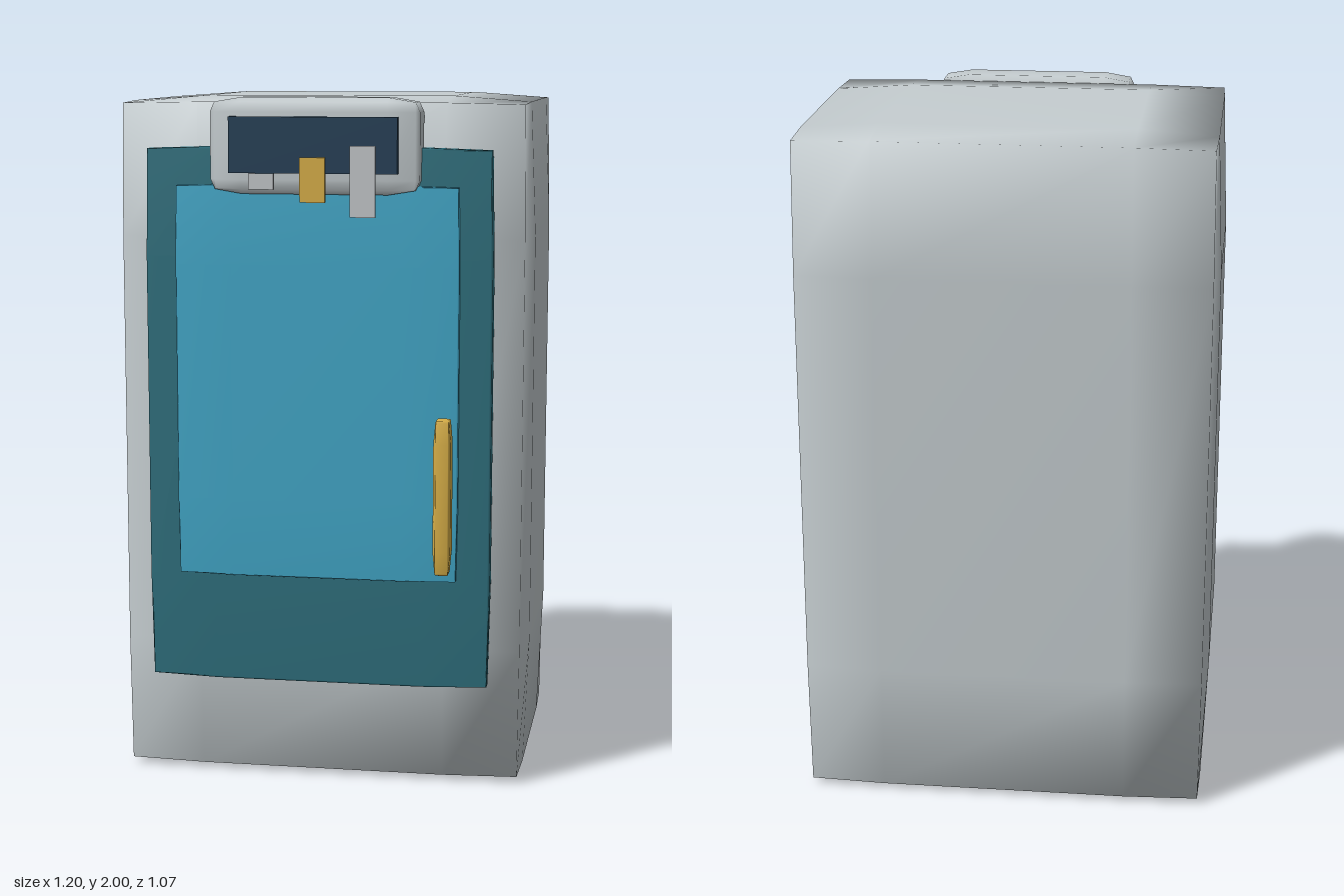
import * as THREE from 'three';
import { mergeVertices } from 'three/addons/utils/BufferGeometryUtils.js';

const material = (name, color) => {
  const m = new THREE.MeshStandardMaterial({ color });
  m.name = name;
  return m;
};

// Box whose faces bulge slightly past their edges and corners, shaded smoothly.
function softBox(min, max, inset, cut = 0.6) {
  const g = new THREE.BoxGeometry(2, 2, 2, 3, 3, 3);
  g.deleteAttribute('normal');
  g.deleteAttribute('uv');
  const box = mergeVertices(g, 1e-4);
  const p = box.attributes.position;
  for (let i = 0; i < p.count; i++) {
    const v = [p.getX(i), p.getY(i), p.getZ(i)];
    const outer = v.filter((c) => Math.abs(c) > 0.9).length;
    const shrink = inset * [0, 0, 0.8, 1][outer];
    const q = v.map((c, k) => {
      const half = (max[k] - min[k]) / 2;
      const size = Math.abs(c) > 0.9 ? half - shrink : half * cut;
      return (min[k] + max[k]) / 2 + Math.sign(c) * size;
    });
    p.setXYZ(i, ...q);
  }
  box.computeVertexNormals();
  return box;
}

function plainBox(min, max) {
  const g = new THREE.BoxGeometry(max[0] - min[0], max[1] - min[1], max[2] - min[2]);
  g.translate((min[0] + max[0]) / 2, (min[1] + max[1]) / 2, (min[2] + max[2]) / 2);
  return g;
}

export function createModel() {
  const model = new THREE.Group();
  model.name = 'cabinet';
  const shell = material('light grey', 0xc6ced1);
  const teal = material('dark teal', 0x2f707e);
  const blue = material('door blue', 0x42a8c9);
  const navy = material('navy', 0x233f56);
  const gold = material('gold', 0xd9b048);
  const silver = material('silver', 0xc4c8cb);

  const add = (name, geometry, mat) => {
    const mesh = new THREE.Mesh(geometry, mat);
    mesh.name = name;
    model.add(mesh);
  };

  // Cabinet and layered front
  add('body', softBox([-0.6, 0, -0.535], [0.6, 2, 0.38], 0.02), shell);
  add('doorFrame', softBox([-0.5, 0.3, 0.37], [0.5, 1.86, 0.435], 0.008), teal);
  add('door', softBox([-0.408, 0.62, 0.41], [0.408, 1.755, 0.46], 0.005), blue);
  add('handle', softBox([0.347, 0.66, 0.473], [0.397, 1.105, 0.535], 0.007, 0.7), gold);

  // Control console with screen
  add('console', softBox([-0.3, 1.73, 0.362], [0.297, 2, 0.482], 0.016, 0.7), shell);
  add('screen', plainBox([-0.24, 1.79, 0.475], [0.238, 1.947, 0.503]), navy);

  // Hanging tabs: x centre, bottom, top
  [
    ['leftTab', -0.146, 1.745, 1.79, silver],
    ['middleTab', 0, 1.71, 1.835, gold],
    ['rightTab', 0.142, 1.67, 1.868, silver],
  ].forEach(([name, x, bottom, top, mat]) => {
    add(name, plainBox([x - 0.036, bottom, 0.502], [x + 0.036, top, 0.512]), mat);
  });

  return model;
}
